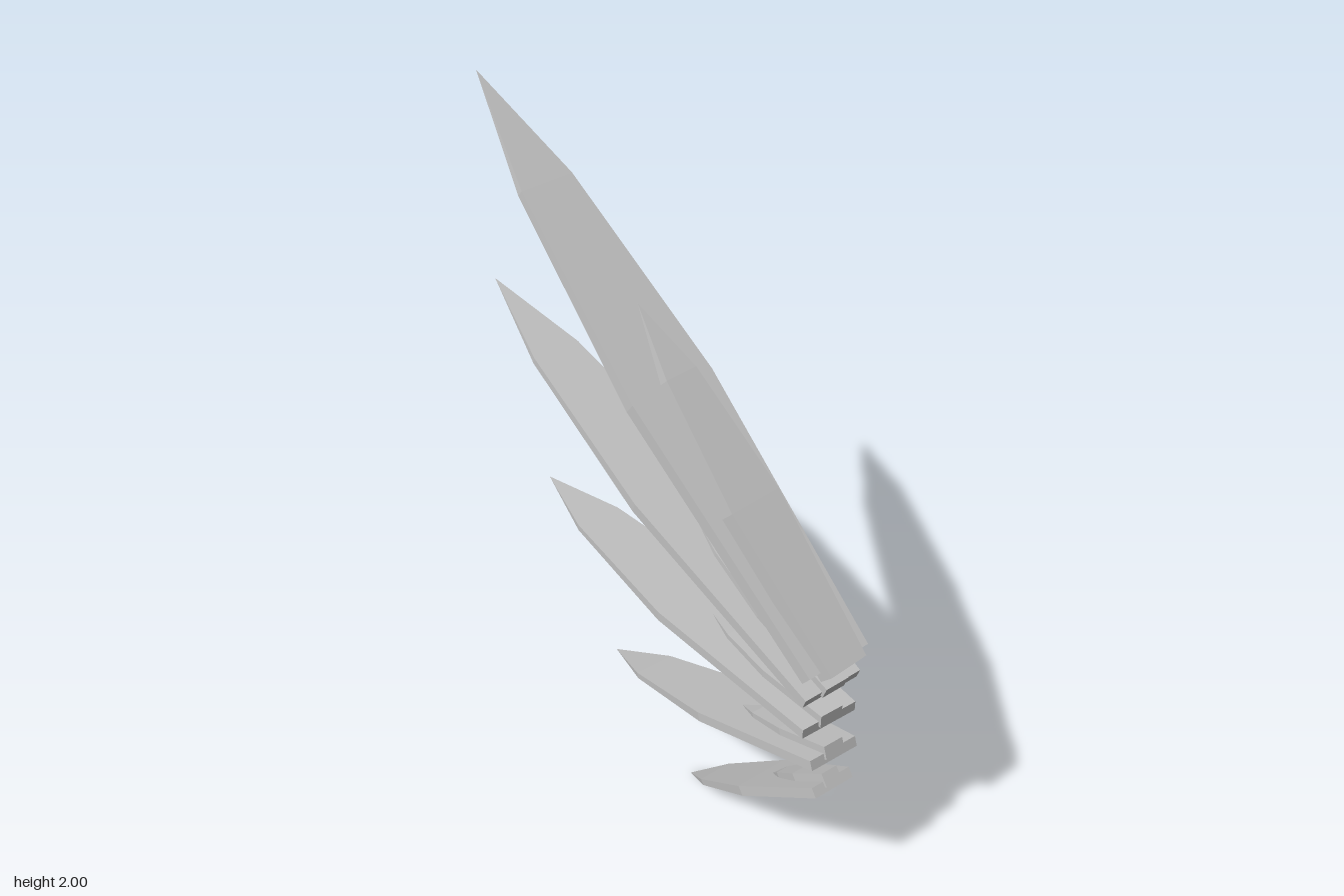
import * as THREE from 'three';

const UP = new THREE.Vector3(0, 1, 0);

// [position along the blade, width factor, thickness factor]
const STATIONS = [[0, 1, 1], [0.45, 1.3, 1], [0.8, 0.8, 0.65]];

// Pointed slab along +z: rectangular cross-sections closing to a tip
function bladeGeometry(length, width, thickness) {
  const pos = [], index = [];
  for (const [t, w, h] of STATIONS) {
    for (const [sx, sy] of [[1, 1], [-1, 1], [-1, -1], [1, -1]]) {
      pos.push(sx * w * width / 2, sy * h * thickness / 2, t * length);
    }
  }
  pos.push(0, 0, length);
  const tip = STATIONS.length * 4;
  index.push(0, 3, 2, 0, 2, 1);
  for (let s = 0; s < STATIONS.length; s++) {
    for (let k = 0; k < 4; k++) {
      const a = s * 4 + k, b = s * 4 + (k + 1) % 4;
      if (s === STATIONS.length - 1) index.push(a, b, tip);
      else index.push(a, b, b + 4, a, b + 4, a + 4);
    }
  }
  const g = new THREE.BufferGeometry();
  g.setAttribute('position', new THREE.Float32BufferAttribute(pos, 3));
  g.setIndex(index);
  const flat = g.toNonIndexed();
  flat.computeVertexNormals();
  return flat;
}

export function createModel() {
  const group = new THREE.Group();
  const grey = new THREE.MeshStandardMaterial({ color: 0xc0c0c0 });
  grey.name = 'featherGrey';

  // Blade from root to tip with its width kept level
  function addFeather(name, root, tip, width, thickness) {
    const r = new THREE.Vector3(...root);
    const d = new THREE.Vector3(...tip).sub(r);
    const length = d.length();
    d.normalize();
    const w = new THREE.Vector3().crossVectors(UP, d).normalize();
    const n = new THREE.Vector3().crossVectors(d, w);
    const mesh = new THREE.Mesh(bladeGeometry(length, width, thickness), grey);
    mesh.name = name;
    mesh.quaternion.setFromRotationMatrix(new THREE.Matrix4().makeBasis(w, n, d));
    mesh.position.copy(r);
    group.add(mesh);
    return { r, d, n, length };
  }

  // Fan of long feathers: root, tip, root width, thickness
  const fan = [
    [[0.635, 0.90, 0.277], [-0.675, 2.0, -0.305], 0.205, 0.04],
    [[0.63, 0.81, 0.276], [-0.7, 1.33, -0.372], 0.187, 0.032],
    [[0.63, 0.697, 0.274], [-0.53, 0.69, -0.34], 0.178, 0.03],
    [[0.65, 0.582, 0.273], [-0.23, 0.217, -0.19], 0.155, 0.03],
    [[0.655, 0.478, 0.277], [0.115, 0, -0.003], 0.13, 0.03],
  ];
  fan.forEach(([root, tip, width, thickness], i) => {
    const f = addFeather(`longFeather${i + 1}`, root, tip, width, thickness);
    // Short covering feather lying on the upper face near the root
    const start = f.r.clone().addScaledVector(f.n, 0.018).addScaledVector(f.d, -0.008);
    const end = start.clone().addScaledVector(f.d, f.length * 0.38);
    addFeather(`shortFeather${i + 1}`, start.toArray(), end.toArray(), width * 0.4, 0.04);
  });

  // Extra feather on top of the fan
  addFeather('topFeather', [0.662, 0.905, 0.29], [-0.053, 1.62, 0], 0.125, 0.05);
  return group;
}
